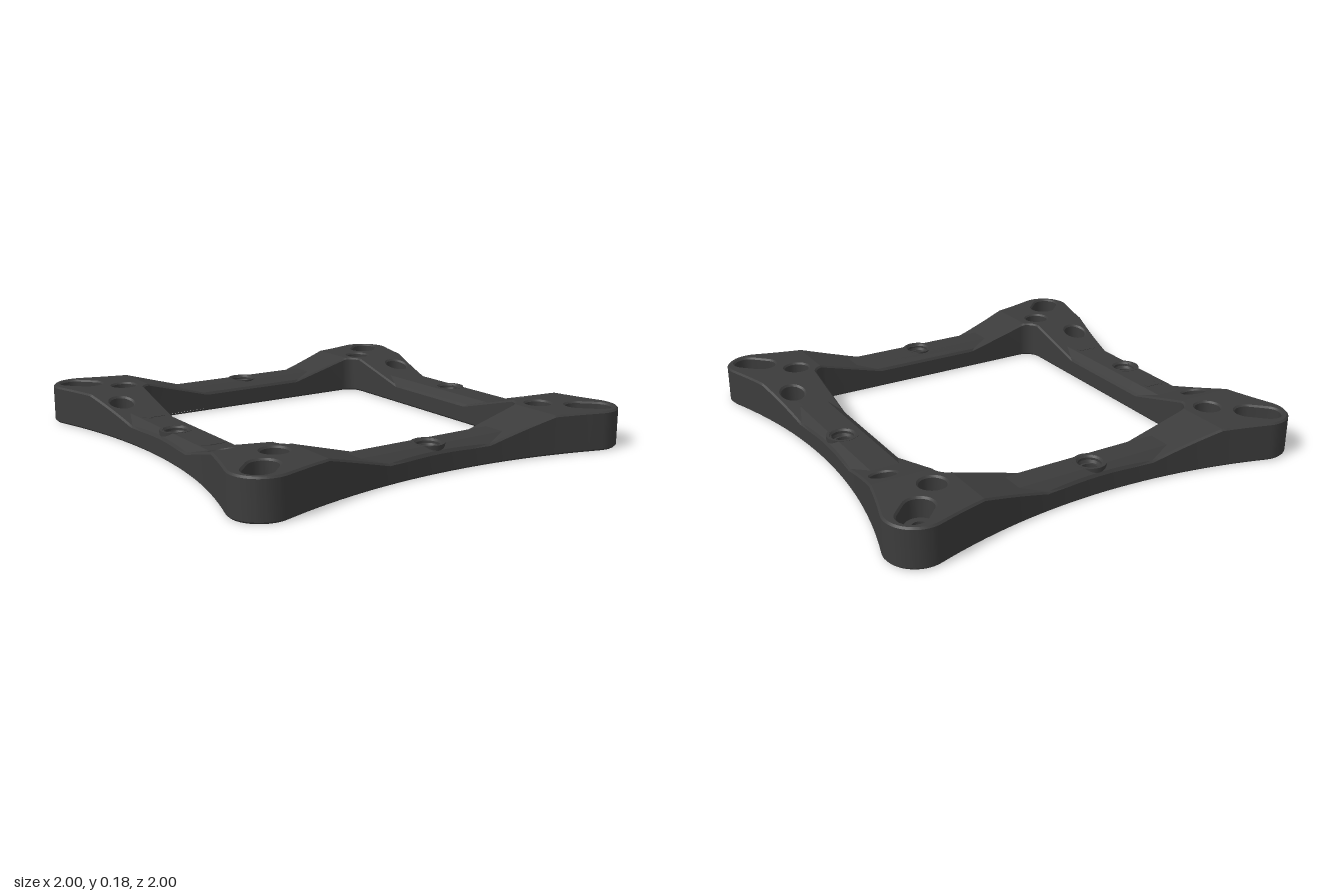
import * as THREE from 'three';
import { toCreasedNormals } from 'three/addons/utils/BufferGeometryUtils.js';

const H = 0.18, BEVEL = 0.008, CREASE = 0.22;
const RIDGE = 0.12, EDGE = 0.09;            // heights of the lowered side bars
const T = [0.6, 0.38, 0.27];                // along a bar: ramp start, ridge, edge
const BAR = { x: [0.645, 0.693, 0.825, 0.865], z: [0.665, 0.72, 0.825, 0.865] }; // across a bar

const clamp = THREE.MathUtils.clamp;
const V = (x, y) => new THREE.Vector2(x, y);

// n points along an arc, without the last one
function arc(cx, cy, r, a0, a1, n) {
  return Array.from({ length: n }, (_, i) => {
    const a = a0 + (a1 - a0) * i / n;
    return V(cx + r * Math.cos(a), cy + r * Math.sin(a));
  });
}

const circle = (x, y, r) => arc(x, y, r, 0, Math.PI * 2, 36);

// slot along the diagonal through its own corner
function slot(x, y, r) {
  const sx = Math.sign(x), sy = Math.sign(y), half = 0.029;
  const a = Math.atan2(sy, sx), dx = half * sx, dy = half * sy, q = Math.PI / 2;
  return [...arc(x + dx, y + dy, r, a - q, a + q, 18), ...arc(x - dx, y - dy, r, a + q, a + 3 * q, 18)]
    .flatMap((p, i) => i === 17 ? [p, V(x + dx + r * Math.cos(a + q), y + dy + r * Math.sin(a + q))]
      : i === 35 ? [p, V(x - dx + r * Math.cos(a - q), y - dy + r * Math.sin(a - q))] : [p]);
}

// rounded corners joined by inward-curving sides
function outline() {
  const c = 0.865, r = 0.135, R = 2.607, far = 0.86 + R, pts = [];
  const t = Math.atan2(c, far - c), q = Math.PI / 2;
  const o = V(0, 0);
  for (let k = 0; k < 4; k++) {
    const quarter = [...arc(c, c, r, -t, q + t, 16), ...arc(0, far, R, t - q, -t - q, 28)];
    pts.push(...quarter.map(p => p.rotateAround(o, k * q)));
  }
  return pts;
}

function opening() {
  const r = 0.07, x = BAR.x[0] - r, y = BAR.z[0] - r, q = Math.PI / 2;
  return [[x, y], [-x, y], [-x, -y], [x, -y]].flatMap(([cx, cy], k) => [
    ...arc(cx, cy, r, k * q, (k + 1) * q, 10),
    V(cx + r * Math.cos((k + 1) * q), cy + r * Math.sin((k + 1) * q))]);
}

// height of the top surface: full at the corners, ramped and crowned on the bars
function topHeight(x, z) {
  const ax = Math.abs(x), az = Math.abs(z);
  const t = Math.min(ax, az), d = Math.max(ax, az);
  const [i0, i1, o0, o1] = ax > az ? BAR.x : BAR.z;
  const ramp = H - (H - RIDGE) * (T[0] - t) / (T[0] - T[1]);
  const fall = Math.max((i1 - d) / (i1 - i0), (d - o0) / (o1 - o0));
  const crown = RIDGE - (RIDGE - EDGE) * clamp(fall, 0, 1);
  return Math.min(H, Math.max(ramp, crown));
}

// all straight creases of the top in plan, as [nx, nz, c]
function creaseLines() {
  const lines = [];
  const through = (ax, az, bx, bz) => {
    const nx = bz - az, nz = ax - bx;
    lines.push([nx, nz, nx * ax + nz * az]);
  };
  for (const s of [1, -1]) {
    for (const v of [...T, ...BAR.x.slice(1)]) lines.push([1, 0, s * v]);
    for (const v of [...T, ...BAR.z.slice(1)]) lines.push([0, 1, s * v]);
    for (const u of [1, -1]) for (const [a, b] of [[1, 0], [2, 3]]) {
      through(s * T[1], u * BAR.z[a], s * T[2], u * BAR.z[b]);
      through(u * BAR.x[a], s * T[1], u * BAR.x[b], s * T[2]);
    }
  }
  return lines;
}

// cut triangles along a vertical plane
function slice(tris, [nx, nz, c]) {
  const out = [];
  for (const tri of tris) {
    const s = tri.map(p => nx * p.x + nz * p.z - c);
    const skip = Math.max(tri[0].y, tri[1].y, tri[2].y) < 0.02;
    if (skip || s.every(v => v > -1e-7) || s.every(v => v < 1e-7)) { out.push(tri); continue; }
    for (const side of [1, -1]) {
      const poly = [];
      for (let i = 0; i < 3; i++) {
        const j = (i + 1) % 3;
        if (s[i] * side >= 0) poly.push(tri[i]);
        if (s[i] * s[j] < 0) poly.push(tri[i].clone().lerp(tri[j], s[i] / (s[i] - s[j])));
      }
      for (let i = 1; i + 1 < poly.length; i++) out.push([poly[0], poly[i], poly[i + 1]]);
    }
  }
  return out;
}

// extrude a plan shape upwards from y = 0 (plan y becomes z); the mirrored
// outline is reversed so that it stays counter-clockwise
function slab(points, holes, height, bevel = 0) {
  const mirror = list => list.map(p => V(p.x, -p.y)).reverse();
  const shape = new THREE.Shape(mirror(points));
  shape.holes = holes.map(h => new THREE.Path(mirror(h)));
  const g = new THREE.ExtrudeGeometry(shape, {
    depth: height - 2 * bevel, bevelEnabled: bevel > 0, bevelSize: bevel,
    bevelThickness: bevel, bevelOffset: -bevel, bevelSegments: 1, steps: 1
  });
  return g.rotateX(-Math.PI / 2).translate(0, bevel, 0);
}

function bodyGeometry(holes) {
  const src = slab(outline(), holes, H, BEVEL);
  const g = src.index ? src.toNonIndexed() : src, pos = g.attributes.position;
  let tris = [];
  for (let i = 0; i < pos.count; i += 3)
    tris.push([0, 1, 2].map(k => new THREE.Vector3().fromBufferAttribute(pos, i + k)));
  for (const line of creaseLines()) tris = slice(tris, line);
  const flat = tris.flat().flatMap(p => {
    const k = clamp((p.y - BEVEL) / (H - 2 * BEVEL), 0, 1);
    return [p.x, p.y + (topHeight(p.x, p.z) - H) * k, p.z];
  });
  const out = new THREE.BufferGeometry();
  out.setAttribute('position', new THREE.Float32BufferAttribute(flat, 3));
  return toCreasedNormals(out, CREASE);
}

export function createModel() {
  const group = new THREE.Group();
  const charcoal = new THREE.MeshStandardMaterial({ color: 0x3c3c3c });
  charcoal.name = 'charcoal';
  const add = (name, geometry) => {
    const m = new THREE.Mesh(geometry, charcoal);
    m.name = name;
    group.add(m);
    return m;
  };

  // counterbored holes: wide in the body, narrowed by a seat below
  const holes = [opening()];
  const counterbore = (name, plan, x, z, wide, narrow, floor) => {
    holes.push(plan(x, z, wide));
    add(name, toCreasedNormals(slab(plan(x, z, wide + BEVEL), [plan(x, z, narrow)], floor), CREASE));
  };
  for (const sx of [1, -1]) for (const sz of [1, -1]) {
    counterbore('cornerSlotSeat', slot, sx * 0.865, sz * 0.867, 0.062, 0.032, 0.09);
    counterbore('innerHoleSeat', circle, sx * 0.708, sz * 0.708, 0.058, 0.034, 0.09);
    counterbore('sideHoleSeat', circle, sx * 0.817, sz * 0.49, 0.055, 0.034, 0.08);
  }

  // countersunk bosses at the middle of each bar
  const profile = [[0.034, 0], [0.058, 0], [0.058, 0.03], [0.073, 0.05], [0.073, 0.121], [0.06, 0.121],
    [0.044, 0.09], [0.034, 0.09], [0.034, 0]].map(p => V(...p));
  const boss = toCreasedNormals(new THREE.LatheGeometry(profile, 40), CREASE);
  for (const [x, z] of [[0.78, 0], [-0.78, 0], [0, 0.78], [0, -0.78]]) {
    holes.push(circle(x, z, 0.05));
    add('middleBoss', boss).position.set(x, 0, z);
  }

  add('frameBody', bodyGeometry(holes));

  // direction arrows on the right bar
  const arrow = [[-0.055, 0], [-0.02, -0.03], [-0.02, -0.014], [0.05, -0.014],
    [0.05, 0.014], [-0.02, 0.014], [-0.02, 0.03]].map(p => V(...p));
  for (const z of [-0.263, 0.303])
    add('directionArrow', slab(arrow, [], 0.004)).position.set(-0.762, RIDGE - 0.002, z);

  return group;
}
